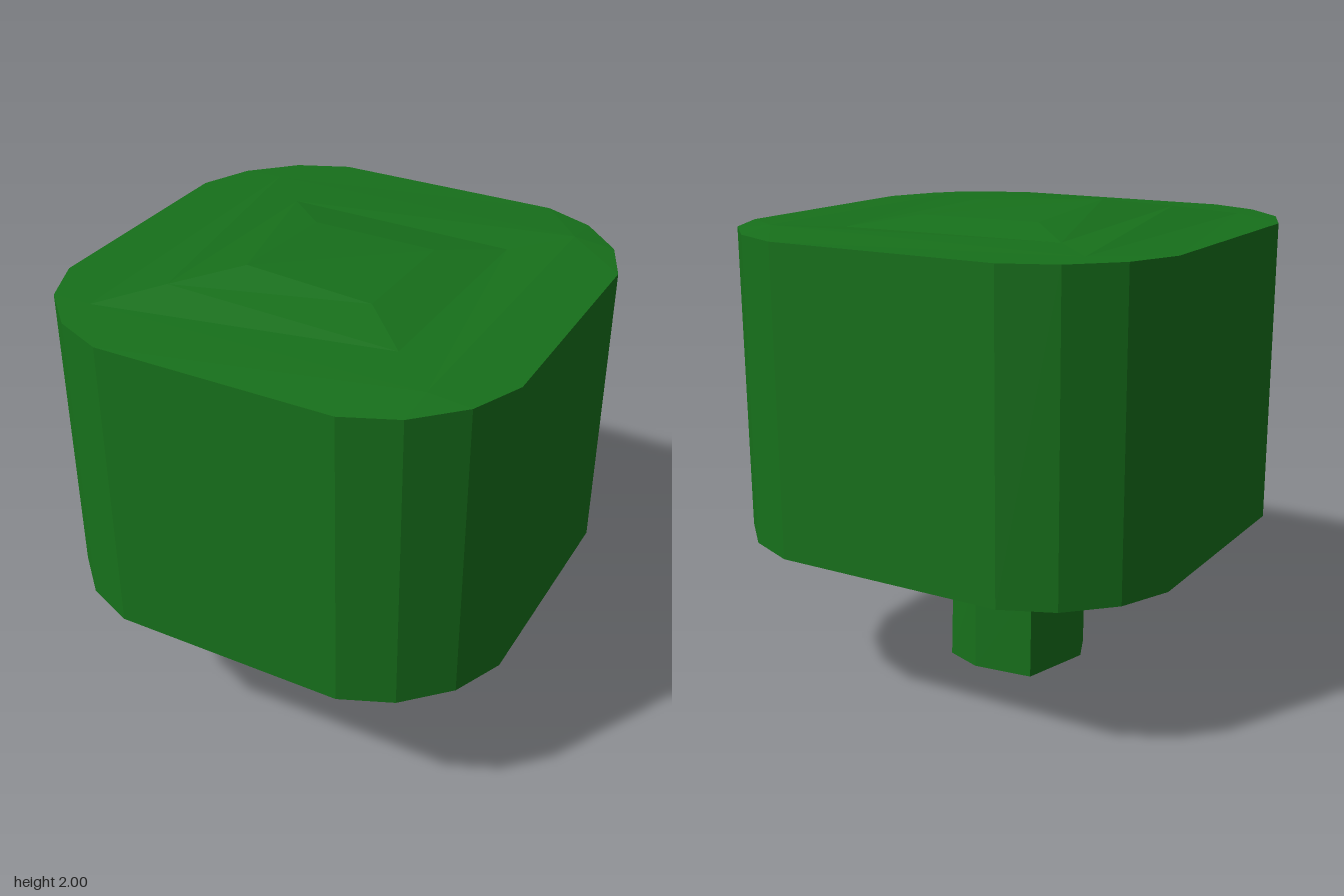
import * as THREE from 'three';

const material = new THREE.MeshStandardMaterial({ color: 0x17701b, flatShading: true });

// Joins equal-length rings of [x, y, z] from bottom to top and caps both ends
function loft(rings) {
  const n = rings[0].length, pos = [];
  const a = new THREE.Vector3(), b = new THREE.Vector3(), c = new THREE.Vector3();
  const tri = (p, q, r) => {
    a.fromArray(p); b.fromArray(q); c.fromArray(r);
    if (b.sub(a).cross(c.sub(a)).length() > 1e-7) pos.push(...p, ...q, ...r); // skip collapsed faces
  };
  for (let k = 0; k < rings.length - 1; k++) {
    const lo = rings[k], hi = rings[k + 1];
    for (let i = 0; i < n; i++) {
      const j = (i + 1) % n;
      tri(lo[i], lo[j], hi[j]);
      tri(lo[i], hi[j], hi[i]);
    }
  }
  const first = rings[0], last = rings[rings.length - 1];
  for (let i = 1; i < n - 1; i++) {
    tri(first[0], first[i + 1], first[i]);
    tri(last[0], last[i], last[i + 1]);
  }
  const g = new THREE.BufferGeometry();
  g.setAttribute('position', new THREE.Float32BufferAttribute(pos, 3));
  g.computeVertexNormals();
  return g;
}

// Repeats one front-left corner around the four corners; heights are per corner
function cornerRing(corner, heights) {
  const ring = [];
  heights.forEach((y) => {
    corner.forEach(([x, z]) => ring.push([x, y, z]));
    corner = corner.map(([x, z]) => [z, -x]);
  });
  return ring;
}

// A square ring whose corners are collapsed to a single point each
const squareRing = (s, heights) => cornerRing(Array(4).fill([-s, s]), heights);

export function createModel() {
  const group = new THREE.Group();
  const add = (name, geometry) => {
    const mesh = new THREE.Mesh(geometry, material);
    mesh.name = name;
    group.add(mesh);
  };

  // Block of foliage with an uneven, gently domed top
  const outline = [[-0.96, 0.49], [-0.87, 0.7], [-0.7, 0.87], [-0.49, 0.96]];
  add('canopy', loft([
    cornerRing(outline, Array(4).fill(0.66)),
    cornerRing(outline, Array(4).fill(1.92)),
    squareRing(0.7, [1.922, 1.936, 1.938, 1.924]),
    squareRing(0.49, [1.963, 1.932, 1.921, 1.93]),
    squareRing(0.27, [2.0, 1.965, 1.96, 1.965]),
  ]));

  // Faceted trunk, flaring forward beneath the foliage
  const level = (y, points) => points.map(([x, z]) => [x, y, z]);
  add('trunk', loft([
    level(0, [[-0.285, 0.1], [-0.22, 0.25], [-0.1, 0.27], [0.1, 0.285], [0.22, 0.22],
      [0.255, 0.09], [0.285, -0.04], [0.22, -0.17], [0.06, -0.23], [-0.2, -0.2]]),
    level(0.41, [[-0.285, 0.1], [-0.22, 0.25], [-0.1, 0.285], [0.09, 0.285], [0.22, 0.22],
      [0.265, 0.1], [0.285, -0.04], [0.22, -0.15], [0.06, -0.22], [-0.2, -0.19]]),
    level(0.66, [[-0.315, 0.17], [-0.22, 0.29], [-0.1, 0.4], [0.09, 0.4], [0.24, 0.29],
      [0.31, 0.18], [0.345, 0], [0.23, -0.18], [0.06, -0.22], [-0.2, -0.2]]),
  ]));

  return group;
}
